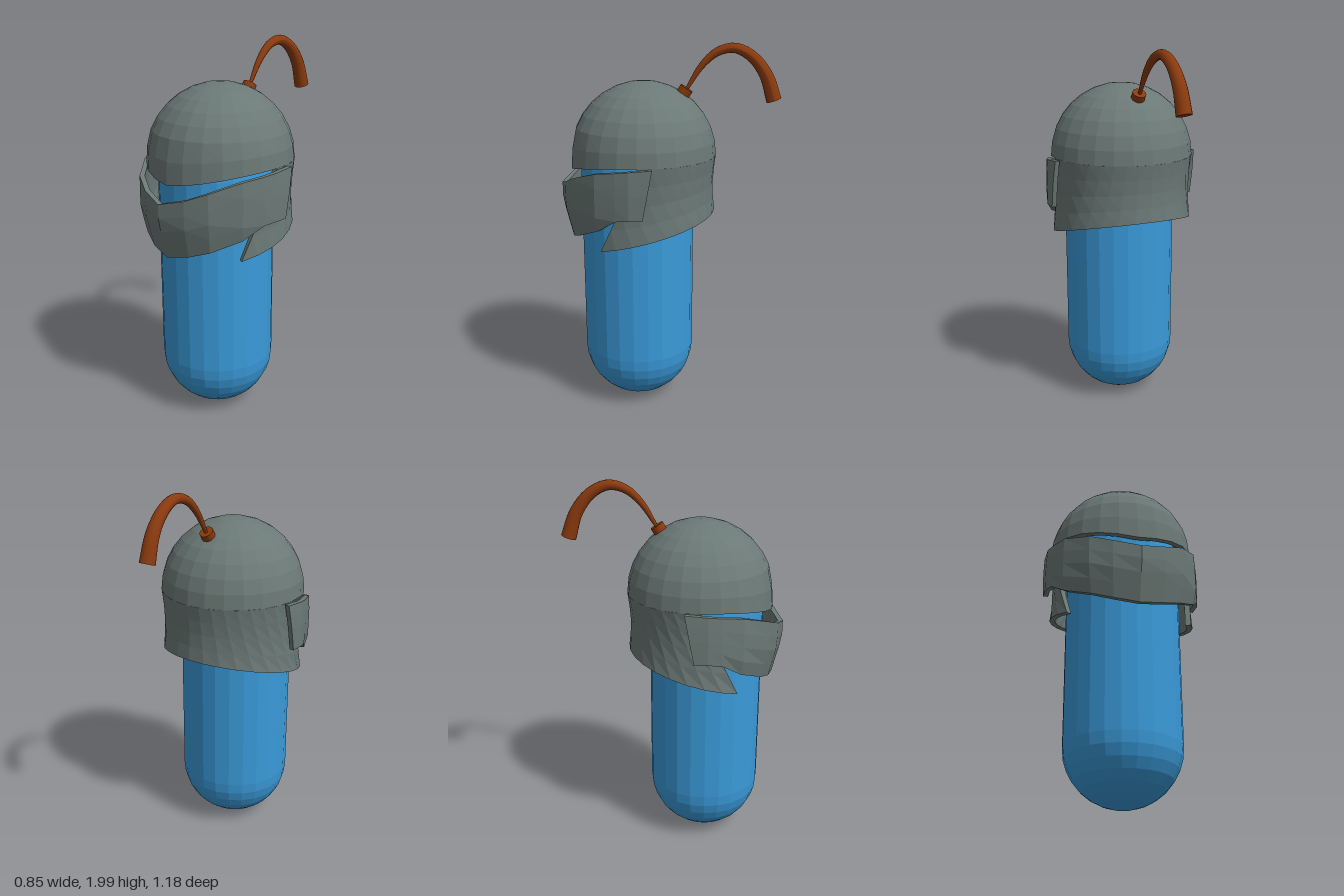
import * as THREE from 'three';

const CZ = 0.14; // z of the helmet's vertical axis
const lerp = THREE.MathUtils.lerp;

function part(parent, name, geometry, color, flat = true) {
  const material = new THREE.MeshStandardMaterial({ color, flatShading: flat });
  const mesh = new THREE.Mesh(geometry, material);
  mesh.name = name;
  parent.add(mesh);
  return mesh;
}

// Solid curved plate: point(u, v, t) gives a surface point, t being the depth below the outside.
// u runs towards +x when seen from the front, v runs downwards.
function plate(nu, nv, thickness, point, closed = false) {
  const pos = [], index = [];
  const layer = (nu + 1) * (nv + 1);
  for (const t of [0, thickness])
    for (let j = 0; j <= nv; j++)
      for (let i = 0; i <= nu; i++) pos.push(...point(i / nu, j / nv, t));
  const quad = (a, b, c, d) => index.push(a, b, c, a, c, d);
  const at = (i, j, k = 0) => k * layer + j * (nu + 1) + i;
  for (let j = 0; j < nv; j++) {
    for (let i = 0; i < nu; i++) {
      quad(at(i, j), at(i, j + 1), at(i + 1, j + 1), at(i + 1, j));
      quad(at(i, j, 1), at(i + 1, j, 1), at(i + 1, j + 1, 1), at(i, j + 1, 1));
    }
    if (closed) continue;
    quad(at(0, j), at(0, j, 1), at(0, j + 1, 1), at(0, j + 1));
    quad(at(nu, j), at(nu, j + 1), at(nu, j + 1, 1), at(nu, j, 1));
  }
  for (let i = 0; i < nu; i++) {
    quad(at(i, 0), at(i + 1, 0), at(i + 1, 0, 1), at(i, 0, 1));
    quad(at(i, nv), at(i, nv, 1), at(i + 1, nv, 1), at(i + 1, nv));
  }
  const g = new THREE.BufferGeometry();
  g.setAttribute('position', new THREE.Float32BufferAttribute(pos, 3));
  g.setIndex(index);
  g.computeVertexNormals();
  return g;
}

// Dome: a hemisphere whose front rim dips down over the eye slot
function domePoint(u, v, t) {
  const a = u * Math.PI * 2;
  const phi = v * Math.PI / 2;
  const r = 0.39 - t;
  const dip = Math.cos(a) > 0 ? 0.08 * (1 - Math.abs(Math.sin(a)) ** 1.3) : 0;
  const y = 1.41 + r * Math.cos(phi) - dip * Math.max(0, (v - 0.75) * 4);
  return [r * Math.sin(phi) * Math.sin(a), y, CZ + r * Math.sin(phi) * Math.cos(a)];
}

// Skirt: wraps the back and sides, sweeping forward into the cheek points
function skirtPoint(u, v, t) {
  const start = THREE.MathUtils.degToRad(90 - 31 * v ** 1.2);
  const a = lerp(start, Math.PI * 2 - start, u);
  const bottom = 1.005 - 0.25 * 0.39 * Math.cos(a);
  const r = 0.39 - 0.015 * Math.sin(Math.PI * Math.min(1, v * 0.9)) - t;
  return [r * Math.sin(a), lerp(1.41, bottom, v), CZ + r * Math.cos(a)];
}

// Visor: half outline from nose to ear as x, z, top y, bottom y
const VISOR = [
  [0, 0.59, 1.245, 0.95], [0.14, 0.55, 1.28, 0.975], [0.25, 0.49, 1.325, 1.01],
  [0.36, 0.36, 1.375, 1.07], [0.405, 0.25, 1.39, 1.14], [0.425, 0.18, 1.4, 1.15],
  [0.425, 0.085, 1.41, 1.15],
];
function visorPoint(u, v, t) {
  const k = Math.round(u * 12) - 6;
  const [x, z, top, bottom] = VISOR[Math.abs(k)];
  const y = lerp(top, bottom, v);
  const slant = Math.abs(k) === 6 ? (v - 0.5) * 0.05 : 0;
  // taper towards the chin and slightly at the upper edge
  const taper = 1 - 0.11 * Math.max(0, (1.15 - y) / 0.2) - 0.15 * Math.max(0, y - 1.3);
  const f = taper * (1 - t / Math.hypot(x, z - CZ));
  return [Math.sign(k) * x * f, y, CZ + (z - CZ) * f + slant];
}

// Plume: a tube whose rings swell from root to tip
function plume(curve, segments, sides) {
  const g = new THREE.TubeGeometry(curve, segments, 1, sides);
  const p = g.attributes.position;
  const v = new THREE.Vector3();
  for (let i = 0; i < p.count; i++) {
    const s = Math.floor(i / (sides + 1)) / segments;
    const c = curve.getPointAt(s);
    v.fromBufferAttribute(p, i).sub(c).multiplyScalar(0.008 + 0.033 * s ** 0.8).add(c);
    p.setXYZ(i, v.x, v.y, v.z);
  }
  g.computeVertexNormals();
  return g;
}

export function createModel() {
  const model = new THREE.Group();
  model.name = 'helmetedCapsule';
  const BLUE = 0x3a9ad9, STEEL = 0x6b7976, RUST = 0x8b3a0e;

  // Body
  const body = part(model, 'body', new THREE.CapsuleGeometry(0.305, 1.04, 8, 24), BLUE);
  body.position.set(0, 0.83, 0.175);

  // Helmet
  const helmet = new THREE.Group();
  helmet.name = 'helmet';
  model.add(helmet);
  part(helmet, 'dome', plate(24, 8, 0.03, domePoint, true), STEEL);
  part(helmet, 'skirt', plate(18, 4, 0.03, skirtPoint), STEEL);
  part(helmet, 'visor', plate(12, 4, 0.027, visorPoint), STEEL);

  // Plume with its socket
  const crest = new THREE.Group();
  crest.name = 'crest';
  model.add(crest);
  const socket = part(crest, 'plumeSocket', new THREE.CylinderGeometry(0.037, 0.037, 0.04, 16), RUST);
  socket.position.set(0, 1.745, -0.08);
  socket.rotation.x = -0.58;

  const path = [[-0.09, 1.755], [-0.17, 1.88], [-0.25, 1.95], [-0.34, 1.969],
    [-0.43, 1.925], [-0.505, 1.83], [-0.55, 1.7]];
  const curve = new THREE.CatmullRomCurve3(
    path.map(([z, y], i) => new THREE.Vector3(-0.002 * i, y, z)));
  part(crest, 'plume', plume(curve, 28, 14), RUST, false);
  const tip = part(crest, 'plumeTip', new THREE.CircleGeometry(0.041, 14), RUST);
  const end = curve.getPointAt(1);
  tip.position.copy(end);
  tip.lookAt(end.clone().add(curve.getTangentAt(1)));

  return model;
}
